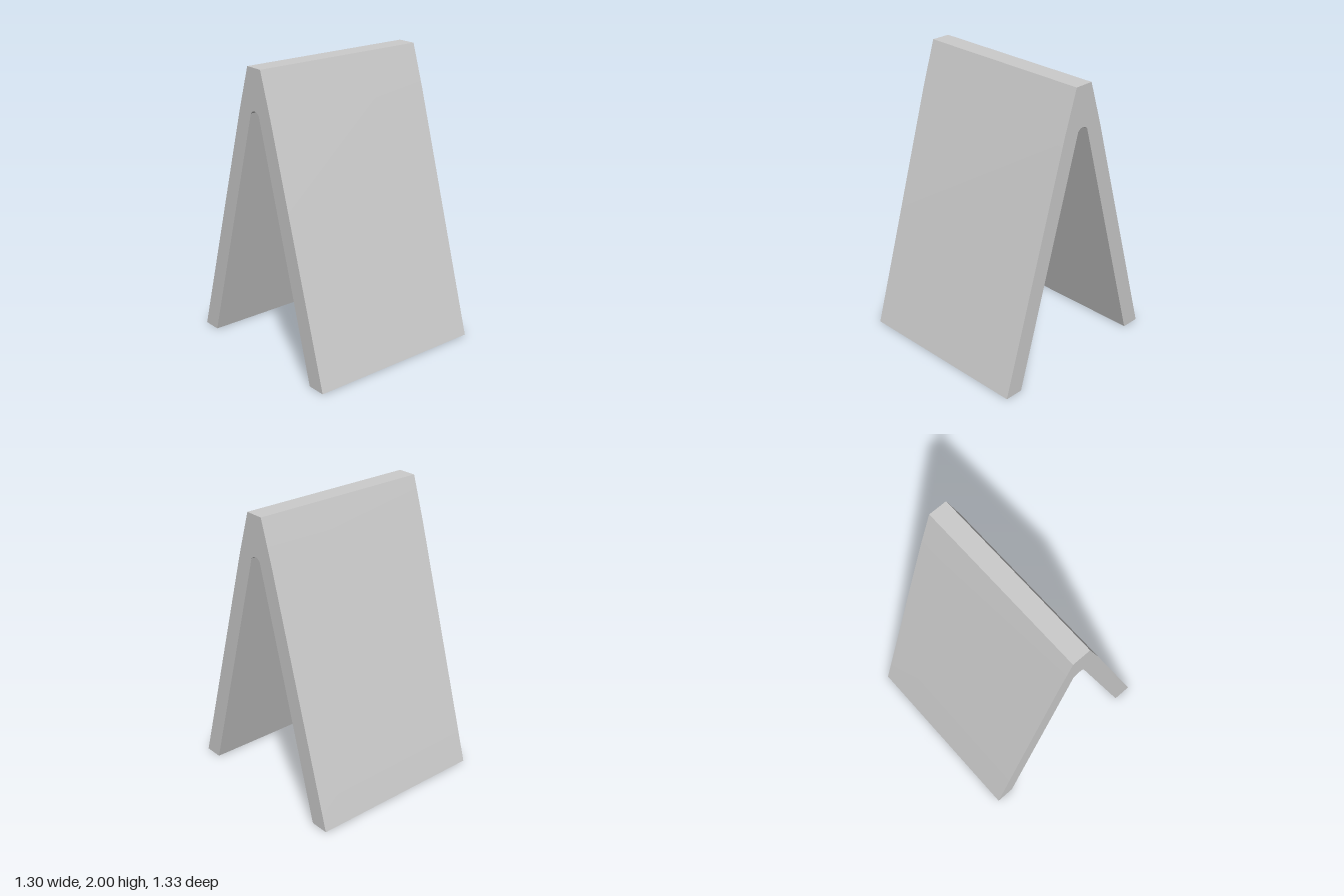
import * as THREE from 'three';
import { toCreasedNormals } from 'three/addons/utils/BufferGeometryUtils.js';

const WIDTH = 1.3;

export function createModel() {
  const group = new THREE.Group();
  group.name = 'foldedBoard';

  // Half of the A-shaped side profile (z, y): inner arch, leg foot, outer slope, flat ridge
  const half = [
    [0.02, 1.717], [0.042, 1.70], [0.535, 0], [0.667, 0], [0.165, 1.70], [0.068, 2],
  ];
  const mirrored = half.map(([z, y]) => [-z, y]).reverse();
  const shape = new THREE.Shape(
    [[0, 1.721], ...half, ...mirrored].map(([z, y]) => new THREE.Vector2(z, y))
  );

  // Extrude the profile across the width and turn it to face the front
  const geometry = new THREE.ExtrudeGeometry(shape, { depth: WIDTH, bevelEnabled: false });
  geometry.translate(0, 0, -WIDTH / 2);
  geometry.rotateY(-Math.PI / 2);

  const board = new THREE.Mesh(
    toCreasedNormals(geometry, Math.PI / 7),
    new THREE.MeshStandardMaterial({ color: 0xcccccc })
  );
  board.name = 'aFrameBoard';
  group.add(board);
  return group;
}
